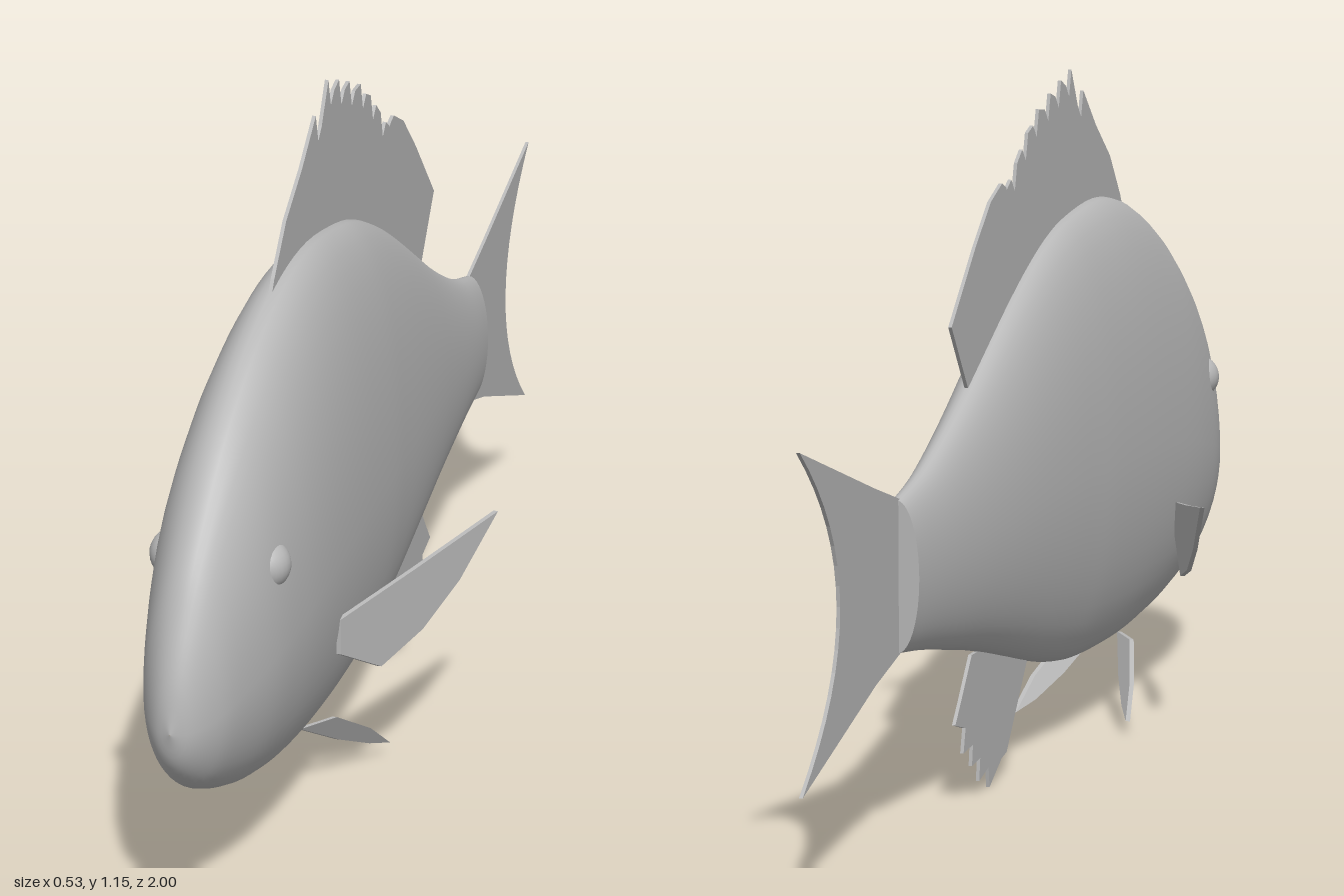
import * as THREE from 'three';

const grey = new THREE.MeshStandardMaterial({ color: 0xb8b8b8 });
grey.name = 'grey';

function add(group, name, geometry) {
  const mesh = new THREE.Mesh(geometry, grey);
  mesh.name = name;
  group.add(mesh);
  return mesh;
}

// Body stations from nose to tail root: z, top, bottom, half width
const stations = [
  [1, 0.37, 0.369, 0.001], [0.985, 0.45, 0.315, 0.03], [0.95, 0.535, 0.27, 0.056],
  [0.9, 0.62, 0.235, 0.077], [0.8, 0.735, 0.193, 0.102], [0.7, 0.812, 0.165, 0.113],
  [0.6, 0.867, 0.147, 0.117], [0.48, 0.91, 0.134, 0.116], [0.35, 0.925, 0.13, 0.112],
  [0.2, 0.908, 0.137, 0.105], [0.1, 0.882, 0.152, 0.098], [0, 0.84, 0.175, 0.091],
  [-0.1, 0.788, 0.202, 0.083], [-0.2, 0.73, 0.229, 0.074], [-0.3, 0.672, 0.254, 0.064],
  [-0.4, 0.62, 0.275, 0.054], [-0.5, 0.577, 0.295, 0.045], [-0.6, 0.55, 0.31, 0.037],
];

function bodyGeometry() {
  const curve = (f) => new THREE.CatmullRomCurve3(
    stations.map((s) => new THREE.Vector3(...f(s))), false, 'catmullrom');
  const outline = curve(([z, top, bottom]) => [z, top, bottom]);
  const widths = curve(([, , , w]) => [w, 0, 0]);
  const rings = (stations.length - 1) * 4, sides = 48;
  const position = [], index = [];
  for (let i = 0; i <= rings; i++) {
    const { x: z, y: top, z: bottom } = outline.getPoint(i / rings);
    const w = widths.getPoint(i / rings).x;
    // widest line sits low on the head and rises to the middle at the tail
    const middle = bottom + (top - bottom) * THREE.MathUtils.lerp(0.4, 0.5, i / rings);
    for (let j = 0; j < sides; j++) {
      const a = (j / sides) * Math.PI * 2, s = Math.sin(a);
      position.push(w * Math.cos(a), middle + s * (s > 0 ? top - middle : middle - bottom), z);
      if (i === rings) continue;
      const p = i * sides + j, q = i * sides + (j + 1) % sides;
      index.push(p, p + sides, q, q, p + sides, q + sides);
    }
  }
  const g = new THREE.BufferGeometry();
  g.setAttribute('position', new THREE.Float32BufferAttribute(position, 3));
  g.setIndex(index);
  g.computeVertexNormals();
  return g;
}

// Thin plate from a (z, y) outline; lean(z, y) pushes it sideways
function finGeometry(points, thickness = 0.006, lean = () => 0) {
  const shape = new THREE.Shape(points.map(([z, y]) => new THREE.Vector2(z, y)));
  const g = new THREE.ExtrudeGeometry(shape, { depth: thickness, bevelEnabled: false });
  g.translate(0, 0, -thickness / 2).rotateY(-Math.PI / 2);
  const p = g.attributes.position;
  for (let i = 0; i < p.count; i++) p.setX(i, p.getX(i) + lean(p.getZ(i), p.getY(i)));
  g.computeVertexNormals();
  return g;
}

export function createModel() {
  const fish = new THREE.Group();
  fish.name = 'fish';

  add(fish, 'body', bodyGeometry());
  const cap = new THREE.CircleGeometry(1, 48).rotateY(Math.PI).scale(0.037, 0.12, 1);
  add(fish, 'tailRootCap', cap.translate(0, 0.43, -0.6));

  // Forked tail with a curved rear edge
  const fork = new THREE.QuadraticBezierCurve(new THREE.Vector2(-0.995, 0.685),
    new THREE.Vector2(-0.69, 0.43), new THREE.Vector2(-0.995, 0.175));
  add(fish, 'tailFin', finGeometry([
    [-0.59, 0.31], [-0.59, 0.55], [-0.7, 0.585],
    ...fork.getPoints(16).map((v) => [v.x, v.y]), [-0.7, 0.28],
  ]));

  // Spiny front dorsal fin: each spine tip drops to a notch behind it
  const tips = [[0.3, 1.115], [0.235, 1.155], [0.18, 1.14], [0.125, 1.122],
    [0.065, 1.1], [0.01, 1.065], [-0.045, 1.02]];
  const spines = tips.flatMap(([z, y]) => [[z, y], [z - 0.012, y - 0.045], [z - 0.03, y - 0.025]]);
  add(fish, 'spinyDorsalFin', finGeometry([
    [0.53, 0.88], [0.51, 0.915], [0.45, 0.99], [0.37, 1.05],
    ...spines, [-0.098, 0.98], [0.01, 0.82], [0.2, 0.86], [0.4, 0.86],
  ]));
  add(fish, 'softDorsalFin', finGeometry([
    [0.01, 0.82], [-0.1, 0.985], [-0.12, 0.993], [-0.175, 0.968],
    [-0.25, 0.9], [-0.36, 0.787], [-0.275, 0.665], [-0.15, 0.73],
  ]));

  // Ragged anal fin
  add(fish, 'analFin', finGeometry([
    [0.02, 0.19], [0, 0.17], [-0.1, 0.04], [-0.125, 0.035], [-0.185, 0],
    [-0.19, 0.035], [-0.235, 0.022], [-0.23, 0.06], [-0.27, 0.055], [-0.265, 0.09],
    [-0.31, 0.085], [-0.3, 0.125], [-0.348, 0.14], [-0.32, 0.175], [-0.27, 0.24], [-0.1, 0.24],
  ]));

  // Paired fins and eyes
  for (const [side, sign] of [['left', 1], ['right', -1]]) {
    add(fish, side + 'PectoralFin', finGeometry([
      [0.52, 0.365], [0.52, 0.305], [0.43, 0.25], [0.335, 0.28],
      [0.25, 0.335], [0.16, 0.425], [0.35, 0.392],
    ], 0.008, (z) => sign * (0.108 + (0.52 - z) * 0.43)));
    add(fish, side + 'PelvicFin', finGeometry([
      [0.46, 0.135], [0.36, 0.075], [0.29, 0.04], [0.245, 0.024], [0.31, 0.078], [0.4, 0.135],
    ], 0.008, (z, y) => sign * (0.02 - 0.6 * (0.135 - y) + 0.706 * (0.46 - z))));
    const eye = add(fish, side + 'Eye', new THREE.SphereGeometry(0.04, 24, 16));
    eye.position.set(sign * 0.071, 0.557, 0.767);
  }
  return fish;
}
